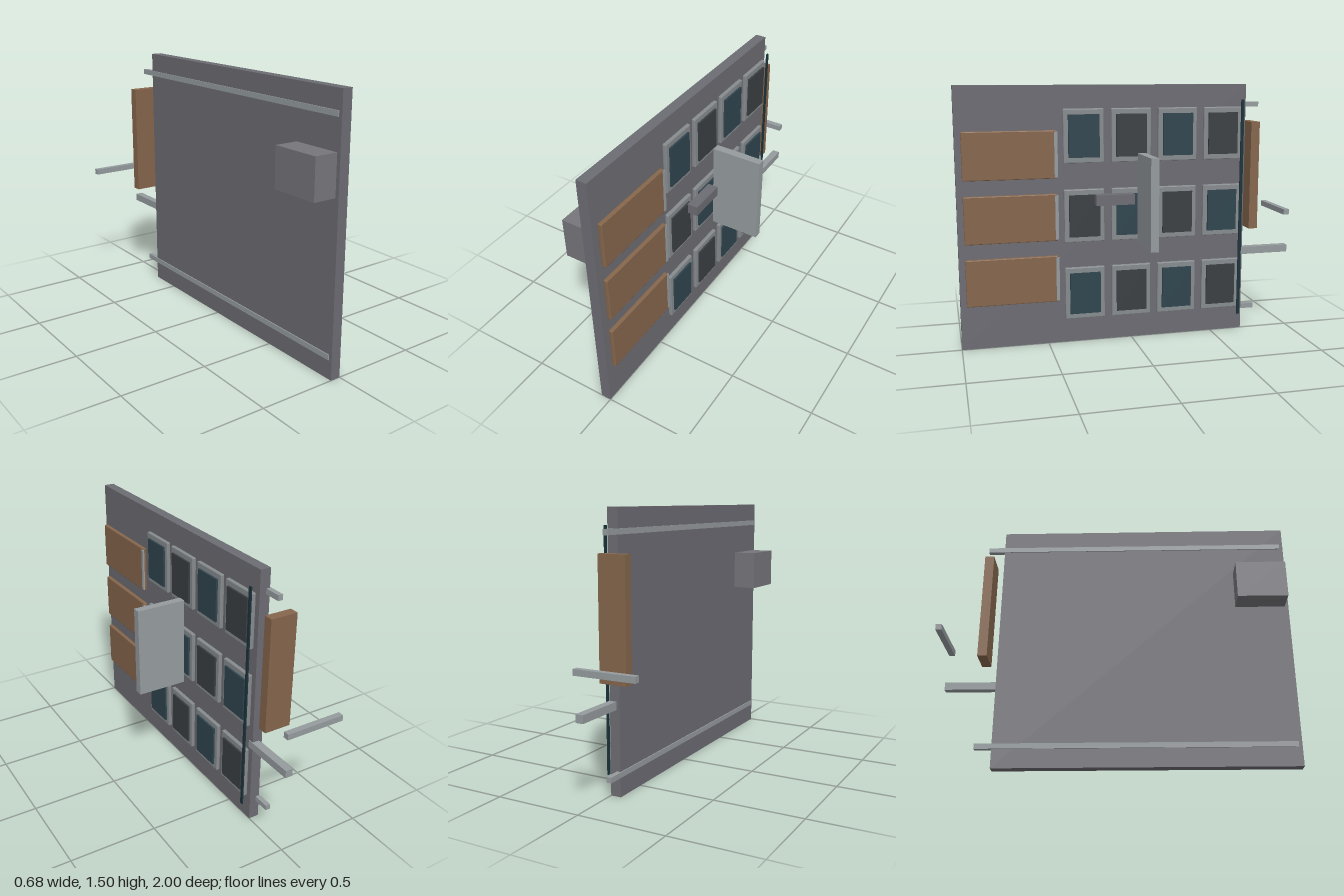
import * as THREE from 'three';
import { RoundedBoxGeometry } from 'three/addons/geometries/RoundedBoxGeometry.js';

const material = (color) => new THREE.MeshStandardMaterial({ color, flatShading: true });

export function createModel() {
  const model = new THREE.Group();
  const wall = material(0x6c6c73);
  const trim = material(0x868b8e);
  const metal = material(0x959b9e);
  const wood = material(0x85664c);
  const teal = material(0x2f444e);
  const dark = material(0x3b3f42);
  const rodMat = material(0x1c333b);

  // Box given by its [min, max] range on each axis, with an optional small chamfer
  function box(name, mat, [x0, x1], [y0, y1], [z0, z1], chamfer = 0) {
    const size = [x1 - x0, y1 - y0, z1 - z0];
    const geometry = chamfer
      ? new RoundedBoxGeometry(...size, 1, chamfer)
      : new THREE.BoxGeometry(...size);
    const mesh = new THREE.Mesh(geometry, mat);
    mesh.name = name;
    mesh.position.set((x0 + x1) / 2, (y0 + y1) / 2, (z0 + z1) / 2);
    model.add(mesh);
    return mesh;
  }

  // Main upright panel
  box('mainPanel', wall, [-0.06, 0], [0, 1.5], [-0.7, 1]);

  // Grid of framed panes in alternating tints
  for (let row = 0; row < 3; row++) {
    for (let col = 0; col < 4; col++) {
      const y = 0.297 + row * 0.459;
      const z = 0.282 - col * 0.278;
      box('paneFrame', trim, [-0.002, 0.021], [y - 0.154, y + 0.154], [z - 0.117, z + 0.117], 0.005);
      box('pane', (row + col) % 2 ? dark : teal,
        [0.018, 0.032], [y - 0.122, y + 0.122], [z - 0.09, z + 0.09]);
    }
  }

  // Wooden boards, each with a metal edge strip
  for (let row = 0; row < 3; row++) {
    const y = 0.395 + row * 0.36;
    box('board', wood, [0.008, 0.033], [y - 0.136, y + 0.136], [0.44, 0.965], 0.005);
    box('boardEdgeStrip', metal, [0.026, 0.036], [y - 0.128, y + 0.128], [0.434, 0.453]);
    box('boardMount', wall, [0, 0.01], [y - 0.1, y + 0.1], [0.5, 0.9]);
  }

  // Thin vertical rod beside the panes
  box('verticalRod', rodMat, [0.03, 0.038], [0.1, 1.41], [-0.678, -0.66]);

  // Plate standing out from the panel, and the short arm next to it
  box('plate', metal, [0.05, 0.34], [0.593, 1.113], [-0.072, -0.026]);
  box('arm', wall, [0.035, 0.095], [0.823, 0.883], [0.002, 0.226]);

  // Rear housing
  box('rearHousing', material(0x75757b), [-0.197, -0.06], [0.97, 1.195], [0.688, 0.978]);

  // Rails along the back, reaching past the panel
  for (const y of [0.124, 1.38]) {
    box('rearRail', metal, [-0.066, -0.038], [y - 0.015, y + 0.015], [-0.797, 0.98]);
  }

  // Side board, support and crossbar beyond the panel edge
  box('sideBoard', wood, [-0.163, -0.005], [0.625, 1.276], [-0.797, -0.743]);
  box('sideSupport', metal, [-0.04, 0.004], [0.469, 0.513], [-0.995, -0.67]);
  box('crossbar', metal, [-0.342, 0.01], [0.704, 0.737], [-1, -0.966]);

  return model;
}
